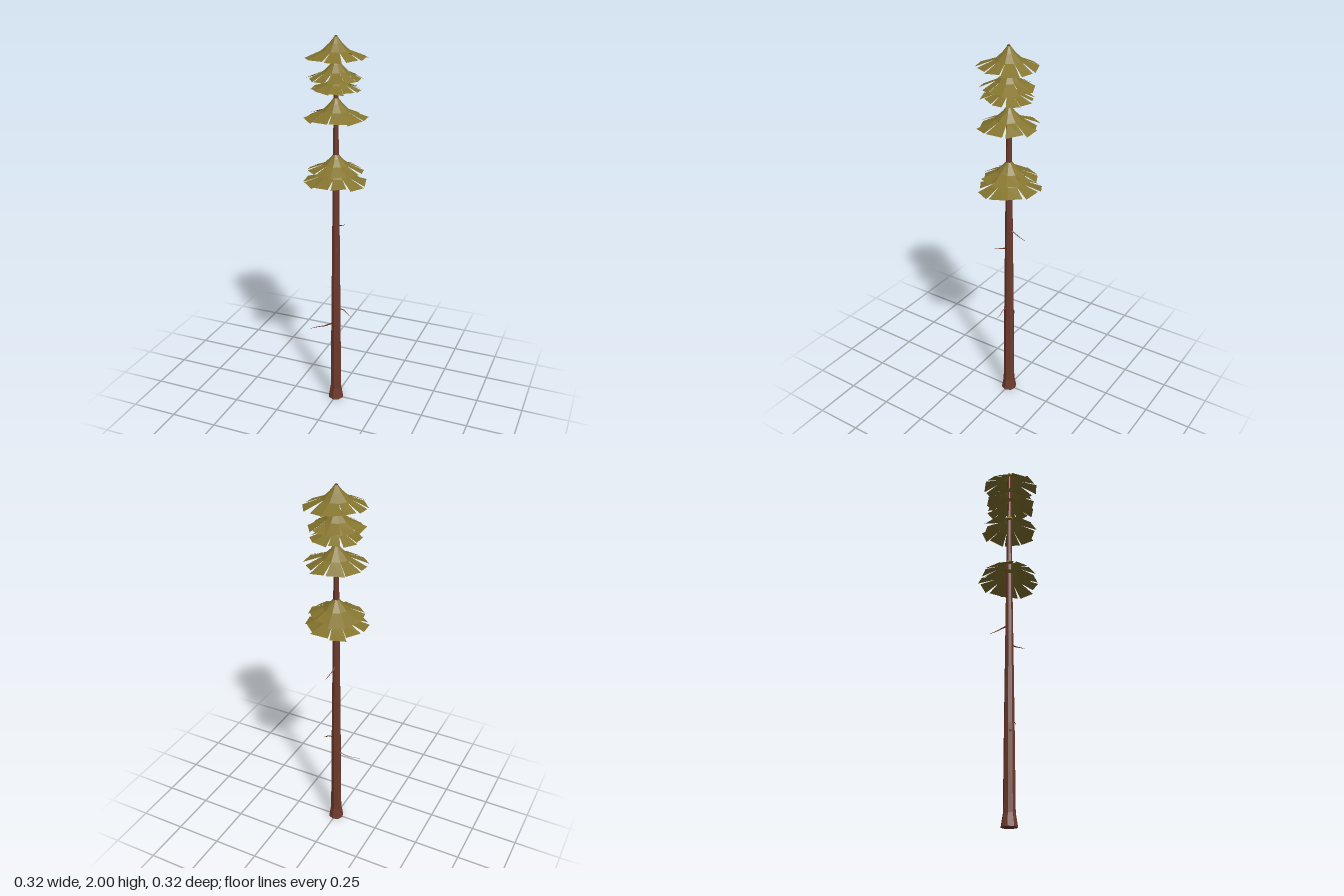
import * as THREE from 'three';

// Small seeded generator for the ragged foliage
function seeded(seed) {
  let s = seed;
  return () => {
    s = (s * 16807) % 2147483647;
    return s / 2147483647;
  };
}

const bark = new THREE.MeshStandardMaterial({ color: 0x6e3b2e, flatShading: true });
const needles = new THREE.MeshStandardMaterial({ color: 0x85752f, flatShading: true, side: THREE.DoubleSide });

function addMesh(parent, name, geometry, material) {
  const mesh = new THREE.Mesh(geometry, material);
  mesh.name = name;
  parent.add(mesh);
  return mesh;
}

// One tier: a concave crown cone whose skirt is split into ragged, drooping fronds
function foliageTier(radius, drop, seed) {
  const rnd = seeded(seed);
  const sides = 10;
  const step = (Math.PI * 2) / sides;
  const turn = rnd() * step;
  const pos = [];
  const at = (a, r, y) => [Math.sin(a) * r, y, Math.cos(a) * r];
  const quad = (a, b, c, d) => pos.push(...a, ...b, ...c, ...a, ...c, ...d);

  for (let i = 0; i < sides; i++) {
    const a0 = turn + i * step;
    const a1 = a0 + step;
    const shoulder = [[0.006, 0], [radius * 0.2, -drop * 0.3], [radius * 0.44, -drop * 0.62]];
    for (let k = 0; k < 2; k++) {
      const [r0, y0] = shoulder[k];
      const [r1, y1] = shoulder[k + 1];
      quad(at(a0, r0, y0), at(a0, r1, y1), at(a1, r1, y1), at(a1, r0, y0));
    }
    // Frond: uneven length, slightly twisted, with a gap beside it
    const [rs, ys] = shoulder[2];
    const len = radius * (0.88 + rnd() * 0.14);
    const e0 = a0 + step * (rnd() * 0.22 - 0.06);
    const e1 = a1 - step * (rnd() * 0.22 - 0.06);
    const y0 = -drop * (0.88 + rnd() * 0.14);
    const y1 = -drop * (0.88 + rnd() * 0.14);
    quad(at(a0, rs, ys), at(e0, len, y0), at(e1, len * (0.94 + rnd() * 0.1), y1), at(a1, rs, ys));
  }
  const geometry = new THREE.BufferGeometry();
  geometry.setAttribute('position', new THREE.Float32BufferAttribute(pos, 3));
  geometry.computeVertexNormals();
  return geometry;
}

// Tapered, bent dead twig along a curve
function twigGeometry(points) {
  const curve = new THREE.CatmullRomCurve3(points.map((p) => new THREE.Vector3(...p)));
  const rows = 5, sides = 4;
  const geometry = new THREE.TubeGeometry(curve, rows, 0.0045, sides, false);
  const p = geometry.attributes.position;
  const v = new THREE.Vector3();
  for (let i = 0; i < p.count; i++) {
    const t = Math.floor(i / (sides + 1)) / rows;
    const c = curve.getPointAt(t);
    v.fromBufferAttribute(p, i).sub(c).multiplyScalar(1 - 0.8 * t).add(c);
    p.setXYZ(i, v.x, v.y, v.z);
  }
  geometry.computeVertexNormals();
  return geometry;
}

export function createModel() {
  const tree = new THREE.Group();
  tree.name = 'tallConifer';

  // Trunk with flared foot
  const profile = [[0, 0], [0.042, 0], [0.031, 0.065], [0.027, 0.5], [0.021, 1.0], [0.016, 1.4], [0.012, 1.75], [0.008, 1.995], [0, 2]];
  addMesh(tree, 'trunk', new THREE.LatheGeometry(profile.map(([r, y]) => new THREE.Vector2(r, y)), 8), bark);

  // Foliage tiers: apex height, radius, drop
  const tiers = [
    [1.995, 0.157, 0.108],
    [1.895, 0.138, 0.105],
    [1.815, 0.132, 0.075],
    [1.71, 0.157, 0.112],
    [1.43, 0.145, 0.1],
    [1.37, 0.169, 0.1],
  ];
  const foliage = new THREE.Group();
  foliage.name = 'foliage';
  tree.add(foliage);
  tiers.forEach(([y, r, drop], i) => {
    addMesh(foliage, `foliageTier${i + 1}`, foliageTier(r, drop, 911 + i * 7717), needles).position.y = y;
  });

  // Dead twigs on the bare trunk
  const twigs = [
    [[-0.015, 0.467, 0.005], [-0.06, 0.445, 0.018], [-0.095, 0.438, 0.03], [-0.13, 0.43, 0.05]],
    [[0.015, 0.56, 0.003], [0.05, 0.557, 0.005], [0.07, 0.54, 0.008], [0.092, 0.528, 0.012]],
    [[0, 1.035, -0.012], [0, 1.02, -0.045], [0.005, 1.01, -0.075], [0.008, 1.003, -0.105]],
    [[0.005, 0.925, 0.012], [0.015, 0.917, 0.035], [0.022, 0.914, 0.055], [0.03, 0.91, 0.073]],
  ];
  twigs.forEach((points, i) => addMesh(tree, `twig${i + 1}`, twigGeometry(points), bark));

  return tree;
}
